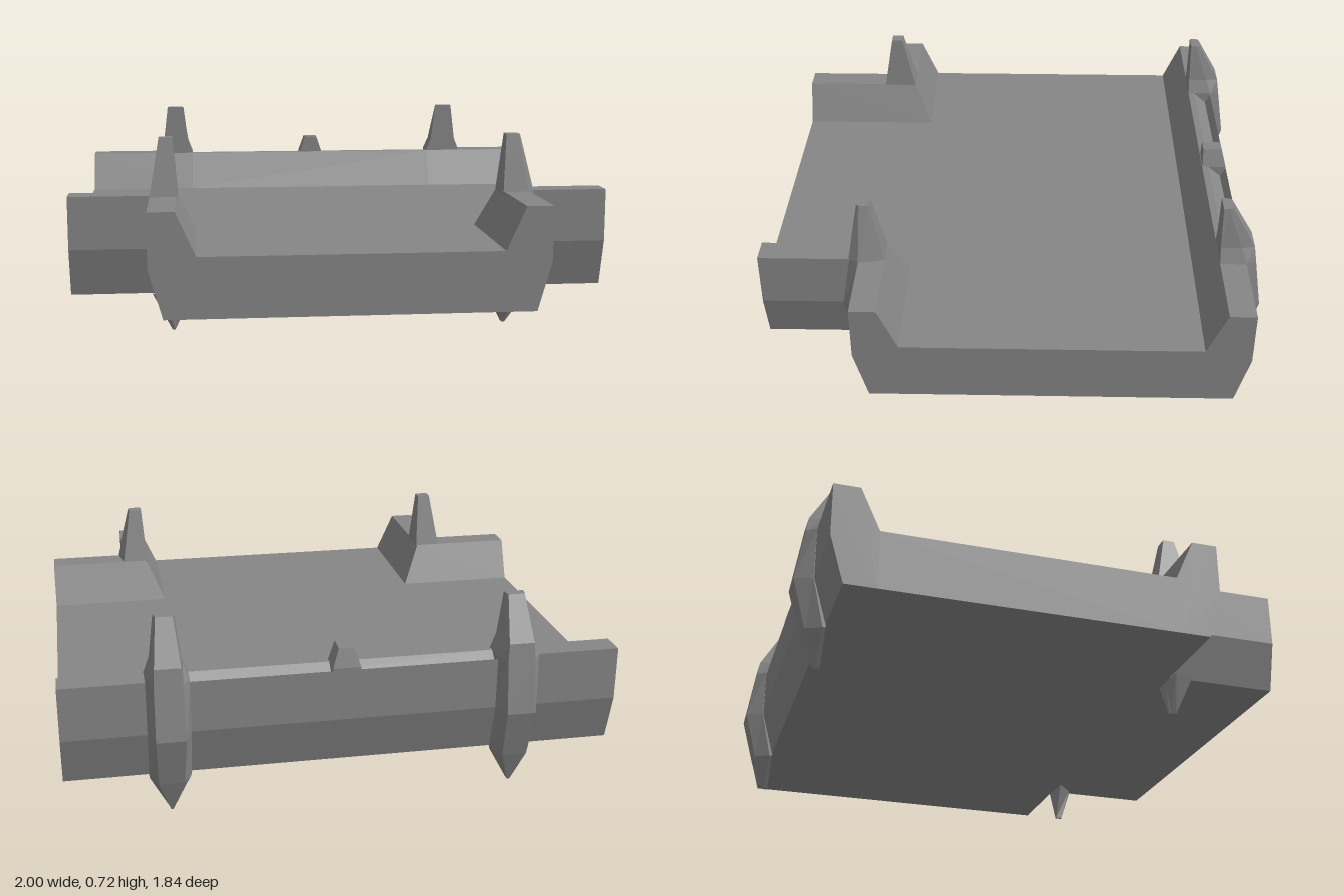
import * as THREE from 'three';

const material = new THREE.MeshStandardMaterial({ color: 0x858585, flatShading: true });

// Joins equal-length rings of [x, y, z] points into a closed solid facing outwards
function loft(rings) {
  const tris = [];
  const n = rings[0].length;
  for (let r = 0; r + 1 < rings.length; r++) {
    const a = rings[r], b = rings[r + 1];
    for (let i = 0; i < n; i++) {
      const j = (i + 1) % n;
      tris.push([a[i], a[j], b[j]], [a[i], b[j], b[i]]);
    }
  }
  const first = rings[0], last = rings[rings.length - 1];
  for (let i = 1; i + 1 < n; i++) {
    tris.push([first[0], first[i + 1], first[i]], [last[0], last[i], last[i + 1]]);
  }
  const [p, q, s] = [0, 0, 0].map(() => new THREE.Vector3());
  let volume = 0;
  for (const t of tris) volume += p.fromArray(t[0]).dot(q.fromArray(t[1]).cross(s.fromArray(t[2])));
  if (volume < 0) tris.forEach((t) => t.reverse());
  const geometry = new THREE.BufferGeometry();
  geometry.setAttribute('position', new THREE.Float32BufferAttribute(tris.flat(2), 3));
  geometry.computeVertexNormals();
  return geometry;
}

// Symmetric ring at height y through [z, half width] stations
const taper = (cx, y, ...stations) => [
  ...stations.map(([z, h]) => [cx - h, y, z]),
  ...stations.reverse().map(([z, h]) => [cx + h, y, z]),
];

export function createModel() {
  const model = new THREE.Group();
  model.name = 'deckSection';
  const add = (name, geometry) => {
    const mesh = new THREE.Mesh(geometry, material);
    mesh.name = name;
    model.add(mesh);
  };

  // T-shaped floor slab between the feet of the walls
  const outline = [[-1, -0.685], [1, -0.685], [1, 0.385], [0.535, 0.385],
    [0.535, 0.918], [-0.535, 0.918], [-0.535, 0.385], [-1, 0.385]];
  const floor = new THREE.ExtrudeGeometry(
    new THREE.Shape(outline.map(([x, z]) => new THREE.Vector2(x, -z))),
    { depth: 0.217, bevelEnabled: false });
  floor.rotateX(-Math.PI / 2).translate(0, 0.14, 0);
  add('floor', floor);

  // Wall profile: [distance inwards from the outer face, height]
  const wall = [[0.165, 0.14], [0.165, 0.357], [0.095, 0.513], [0, 0.513], [0, 0.317], [0.05, 0.14]];
  // Same profile with a shallow channel along the top
  const channelled = [...wall.slice(0, 3), [0.07, 0.513], [0.02, 0.47], [0, 0.505], ...wall.slice(4)];
  const backRing = (profile, x) => profile.map(([d, y]) => [x, y, -0.85 + d]);
  add('backWallMiddle', loft([backRing(channelled, -0.55), backRing(channelled, 0.55)]));

  // Small stud in the middle of the back wall
  add('backStud', loft([
    taper(0, 0.46, [-0.757, 0.05], [-0.849, 0.05]),
    taper(0, 0.513, [-0.757, 0.05], [-0.849, 0.05]),
    taper(0, 0.582, [-0.757, 0.027], [-0.83, 0.027]),
  ]));

  for (const s of [-1, 1]) {
    const side = s > 0 ? 'Left' : 'Right';
    const mirror = (ring) => ring.map(([x, y, z]) => [s * x, y, z]);

    add('backWall' + side, loft([backRing(wall, s * 0.55), backRing(wall, s)]));

    // L-shaped front wall, mitred at the inside corner
    add('frontWall' + side, loft([
      wall.map(([d, y]) => [1, y, 0.55 - d]),
      wall.map(([d, y]) => [0.7 - d, y, 0.55 - d]),
      wall.map(([d, y]) => [0.7 - d, y, 0.918]),
    ].map(mirror)));

    // Rib that wraps the back wall and rises to a blunt horn
    const cx = s * 0.624;
    add('backRib' + side, loft([
      taper(cx, 0.725, [-0.755, 0.036], [-0.775, 0.033], [-0.79, 0.03]),
      taper(cx, 0.57, [-0.755, 0.055], [-0.83, 0.055], [-0.878, 0.046]),
      taper(cx, 0.513, [-0.755, 0.076], [-0.85, 0.076], [-0.887, 0.05]),
      taper(cx, 0.315, [-0.76, 0.076], [-0.852, 0.076], [-0.918, 0.052]),
      taper(cx, 0.13, [-0.8, 0.074], [-0.81, 0.074], [-0.868, 0.045]),
      taper(cx, 0.005, [-0.8, 0.005], [-0.81, 0.005], [-0.823, 0.004]),
    ]));

    // Horn on the corner of the front wall; the left one bulges out and runs down into its spike
    const ring = (y, ...points) => points.map(([x, z]) => [s * x, y, z]);
    const top = [[0.615, 0.505], [0.665, 0.505]];
    const base = [[0.6, 0.455], [0.7, 0.455]];
    const tip = ring(0.005, [0.615, 0.505], [0.625, 0.505], [0.63, 0.51], [0.627, 0.53], [0.617, 0.53]);
    if (s > 0) {
      add('frontHornLeft', loft([
        ring(0.725, ...top, [0.668, 0.54], [0.66, 0.55], [0.615, 0.55]),
        ring(0.513, ...base, [0.722, 0.55], [0.698, 0.587], [0.6, 0.587]),
        ring(0.317, ...base, [0.757, 0.552], [0.699, 0.62], [0.6, 0.5]),
        ring(0.139, [0.55, 0.505], [0.69, 0.505], [0.722, 0.54], [0.66, 0.585], [0.62, 0.57]),
        tip,
      ]));
    } else {
      add('frontHornRight', loft([
        ring(0.725, ...top, [0.665, 0.55], [0.615, 0.55]),
        ring(0.513, ...base, [0.7, 0.587], [0.6, 0.587]),
      ]));
      add('frontSpikeRight', loft([
        ring(0.139, [0.55, 0.505], [0.6, 0.505], [0.7, 0.505], [0.66, 0.585], [0.62, 0.57]),
        tip,
      ]));
    }
  }
  return model;
}
